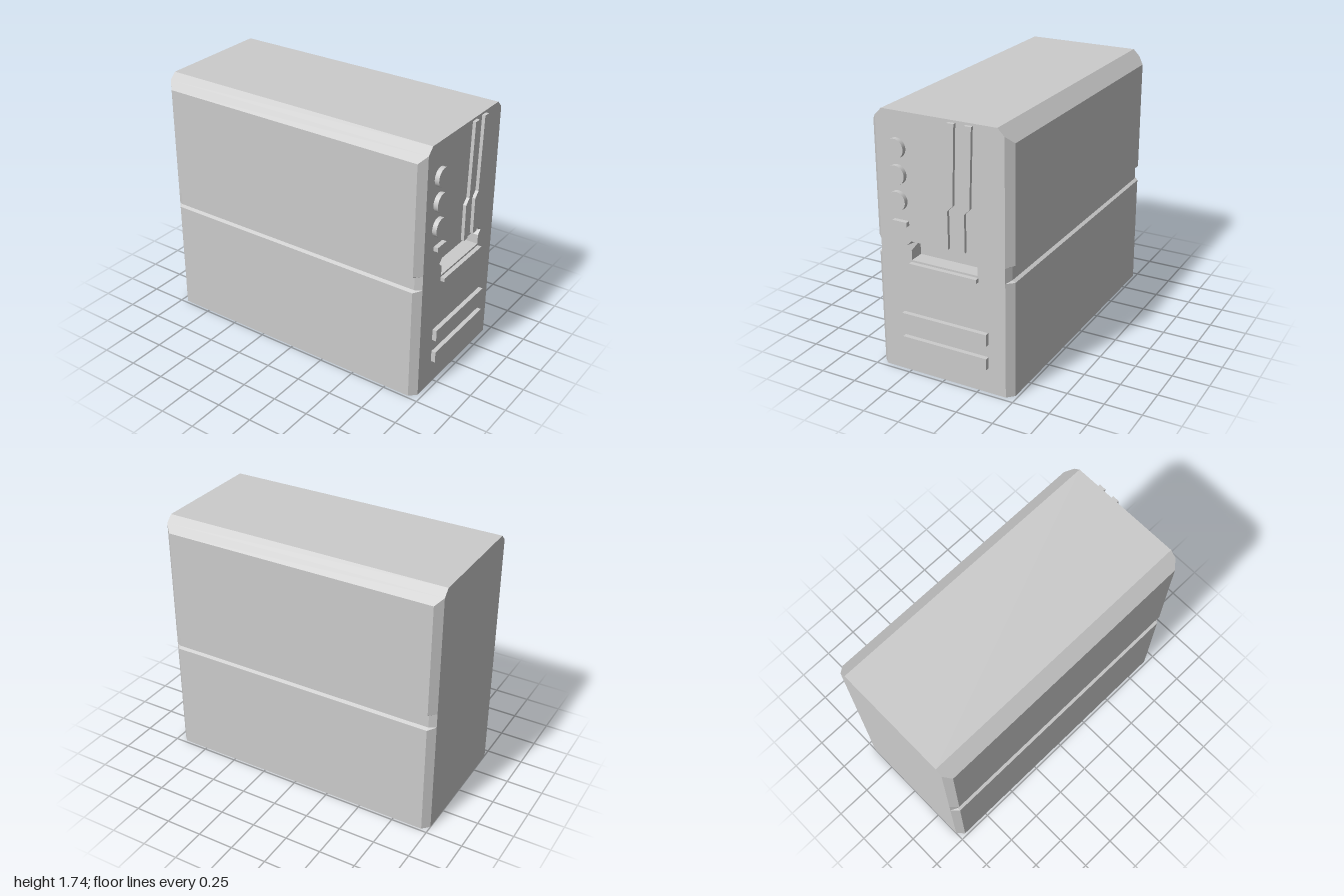
import * as THREE from 'three';

const END = 0.97; // x of the detailed end face

// Profile points are [z, y]; shapes are drawn as seen from +x
const toShape = (pts, Type = THREE.Shape) => new Type(pts.map(([z, y]) => new THREE.Vector2(-z, y)));

function flatGeometry(positions) {
  const g = new THREE.BufferGeometry();
  g.setAttribute('position', new THREE.Float32BufferAttribute(positions, 3));
  g.computeVertexNormals();
  return g;
}

// Horizontal outline with cut corners
function ring(y, zOuter, zInner, xInner) {
  const X = 0.985, c = -0.015;
  return [
    [-xInner, zOuter], [xInner, zOuter], [X, zInner], [X, -zInner],
    [xInner, -zOuter], [-xInner, -zOuter], [-X, -zInner], [-X, zInner],
  ].map(([x, z]) => [x + c, y, z]);
}

export function createModel() {
  const model = new THREE.Group();
  const grey = new THREE.MeshStandardMaterial({ color: 0xcccccc });
  const greyTwoSided = new THREE.MeshStandardMaterial({ color: 0xcccccc, side: THREE.DoubleSide });

  const add = (name, geometry, material = grey) => {
    const mesh = new THREE.Mesh(geometry, material);
    mesh.name = name;
    model.add(mesh);
    return mesh;
  };

  // Case: stacked outlines make the groove and the bevelled top
  const rings = [
    ring(0, 0.482, 0.437, 0.94),
    ring(0.78, 0.482, 0.437, 0.94),
    ring(0.792, 0.461, 0.437, 0.94),
    ring(0.88, 0.461, 0.437, 0.94),
    ring(0.892, 0.482, 0.437, 0.94),
    ring(1.65, 0.482, 0.437, 0.94),
    ring(1.695, 0.437, 0.437, 0.985),
    ring(1.74, 0.392, 0.392, 0.985),
  ];
  const pos = [];
  const tri = (...pts) => pts.forEach((p) => pos.push(...p));
  for (let r = 0; r < rings.length - 1; r++) {
    for (let i = 0; i < 8; i++) {
      if (i === 2) continue; // closed by the end panel
      const j = (i + 1) % 8;
      const a = rings[r][i], b = rings[r][j], c = rings[r + 1][j], d = rings[r + 1][i];
      tri(a, b, c);
      tri(a, c, d);
    }
  }
  const bottom = rings[0], top = rings[rings.length - 1];
  for (let i = 1; i < 7; i++) {
    tri(bottom[0], bottom[i + 1], bottom[i]);
    tri(top[0], top[i], top[i + 1]);
  }
  add('case', flatGeometry(pos));

  // End panel with the slot opening
  const opening = [
    [0.215, 0.79], [0.215, 0.855], [0.245, 0.885], [0.215, 0.915],
    [-0.25, 0.915], [-0.28, 0.885], [-0.25, 0.855], [-0.25, 0.79],
  ];
  const panel = toShape([
    [0.437, 0], [-0.437, 0], [-0.437, 1.695], [-0.392, 1.74], [0.392, 1.74], [0.437, 1.695],
  ]);
  panel.holes.push(toShape(opening, THREE.Path));
  add('endPanel', new THREE.ShapeGeometry(panel).rotateY(Math.PI / 2).translate(END, 0, 0));

  // Slot recess: opening narrows to a plain rectangle at the back
  const depth = 0.1, walls = [];
  const back = opening.map(([z, y]) => [
    END - depth, Math.min(y, 0.885), THREE.MathUtils.clamp(z, -0.25, 0.215),
  ]);
  const front = opening.map(([z, y]) => [END, y, z]);
  front.forEach((a, i) => {
    const j = (i + 1) % front.length;
    walls.push(...a, ...front[j], ...back[j], ...a, ...back[j], ...back[i]);
  });
  add('slotWalls', flatGeometry(walls), greyTwoSided);
  const slotBack = new THREE.PlaneGeometry(0.465, 0.095).rotateY(Math.PI / 2);
  add('slotBack', slotBack).position.set(END - depth, 0.8375, -0.0175);

  // Raised rectangular details: [name, zMin, zMax, yMin, yMax]
  const raised = 0.03;
  [
    ['slotLip', -0.255, 0.22, 0.75, 0.777],
    ['indicator', 0.225, 0.327, 1.018, 1.048],
    ['upperBar', -0.318, 0.286, 0.34, 0.42],
    ['lowerBar', -0.318, 0.286, 0.175, 0.253],
  ].forEach(([name, z0, z1, y0, y1]) => {
    add(name, new THREE.BoxGeometry(raised, y1 - y0, z1 - z0))
      .position.set(END + raised / 2, (y0 + y1) / 2, (z0 + z1) / 2);
  });

  // Round buttons
  [1.51, 1.342, 1.174].forEach((y, i) => {
    add('button' + (i + 1), new THREE.CylinderGeometry(0.063, 0.063, raised, 32).rotateZ(-Math.PI / 2))
      .position.set(END + raised / 2, y, 0.293);
  });

  // Bent raised strips
  const strip = toShape([
    [-0.016, 0.93], [-0.062, 0.93], [-0.062, 1.178], [-0.099, 1.215],
    [-0.119, 1.725], [-0.071, 1.725], [-0.053, 1.219], [-0.016, 1.182],
  ]);
  [0, -0.115].forEach((z, i) => {
    const g = new THREE.ExtrudeGeometry(strip, { depth: 0.022, bevelEnabled: false });
    add('strip' + (i + 1), g.rotateY(Math.PI / 2)).position.set(END, 0, z);
  });

  return model;
}
